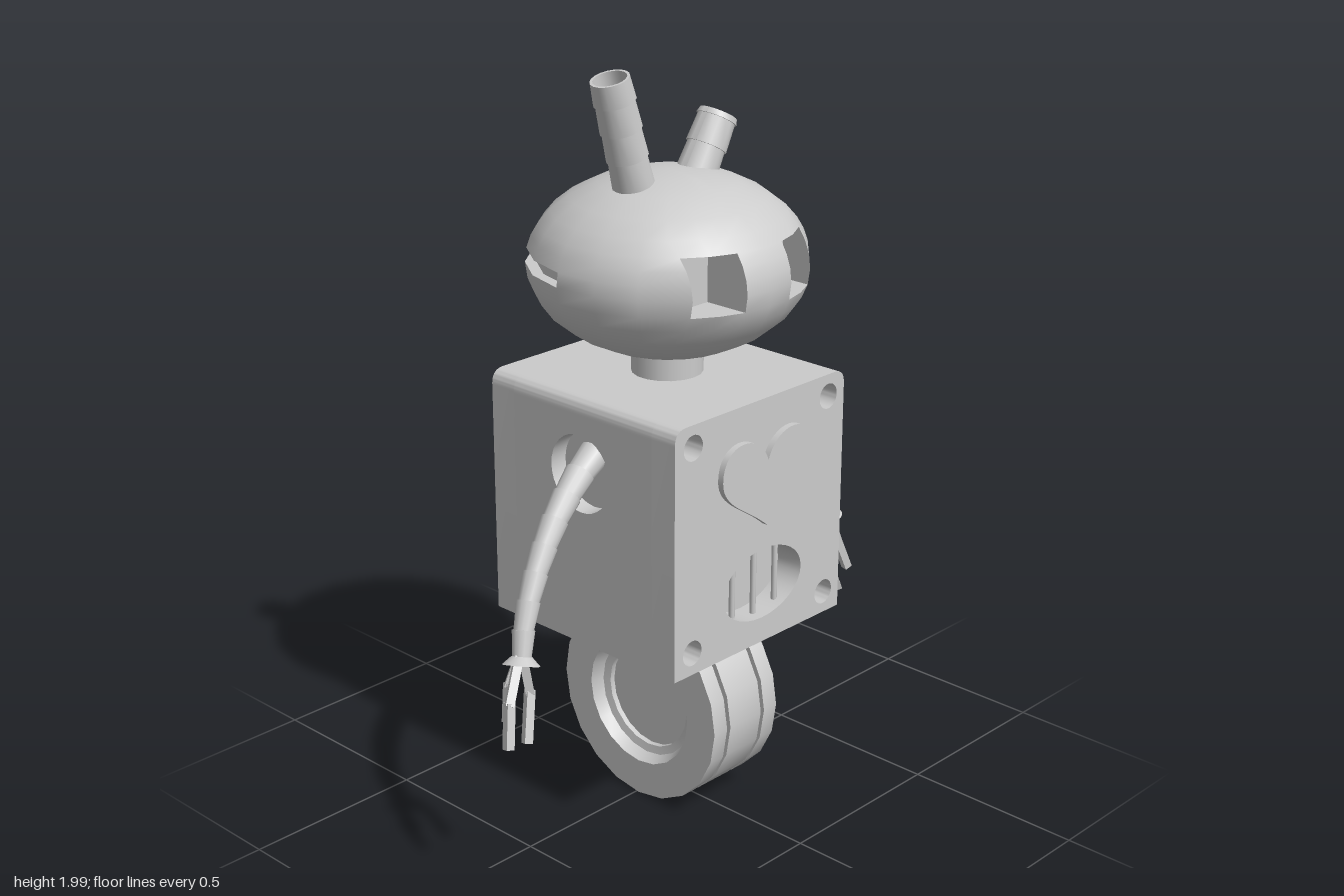
import * as THREE from 'three';
import { toCreasedNormals } from 'three/addons/utils/BufferGeometryUtils.js';

const V = (x, y, z = 0) => new THREE.Vector3(x, y, z);
const grey = new THREE.MeshStandardMaterial({ color: 0xcccccc });
const UP = V(0, 1, 0);

function add(parent, name, geo, x = 0, y = 0, z = 0) {
  const m = new THREE.Mesh(geo, grey);
  m.name = name;
  m.position.set(x, y, z);
  parent.add(m);
  return m;
}
// Places a y-aligned mesh so that its middle lies between a and b
function along(m, a, b) {
  m.position.copy(a).lerp(b, 0.5);
  m.quaternion.setFromUnitVectors(UP, b.clone().sub(a).normalize());
}
const extrude = (shape, depth) => toCreasedNormals(
  new THREE.ExtrudeGeometry(shape, { depth, bevelEnabled: false, curveSegments: 16 }), 0.6);
const hole = (x, y, rx, ry = rx) => new THREE.Path().absellipse(x, y, rx, ry, 0, Math.PI * 2, true);

// Rectangle with rounded upper corners
function panel(x0, x1, y0, y1, r) {
  const s = new THREE.Shape();
  s.moveTo(x0, y0);
  s.lineTo(x1, y0);
  s.lineTo(x1, y1 - r);
  s.quadraticCurveTo(x1, y1, x1 - r, y1);
  s.lineTo(x0 + r, y1);
  s.quadraticCurveTo(x0, y1, x0, y1 - r);
  return s;
}

// Hollow-looking ellipsoid shell with two eye pits and a groove round the back
function headGeometry() {
  const cx = 0.021, cy = 1.487, R = 0.363, RY = 0.238, D = Math.PI / 180;
  const lats = [-Math.PI / 2, -1.3, -1.05, -0.8, -0.55, -0.35, -0.182, 0, 0.156, 0.3, 0.434, 0.6, 0.8, 1.05, 1.3, Math.PI / 2];
  // Columns: fixed angles, or eye edges that hold a constant x
  const cols = [18, 38, { x: 0.209 }, { x: 0.146 }, { x: 0.082 }, { x: 0.005 }, { x: -0.071 }, { x: -0.135 }, { x: -0.198 }, 148, 166];
  for (let k = 0; k <= 10; k++) cols.push(185 + k * 19.3);
  const n = cols.length - 1, pos = [];
  const point = (i, j) => {
    const r = R * Math.cos(lats[i]), c = cols[j];
    const a = c.x === undefined ? c * D : Math.acos((c.x - cx) / Math.max(r, 0.3));
    return V(cx + r * Math.cos(a), cy + RY * Math.sin(lats[i]), r * Math.sin(a));
  };
  const quad = (a, b, c, d) => [a, b, c, a, c, d].forEach(p => pos.push(p.x, p.y, p.z));
  const kind = (i, j) => {
    j = (j + n) % n;
    if (i === 7 && j >= 11) return 'groove';
    if (i >= 6 && i < 10 && (j === 2 || j === 3)) return 'leftEye';
    if (i >= 6 && i < 10 && (j === 6 || j === 7)) return 'rightEye';
    return '';
  };
  for (let i = 0; i < lats.length - 1; i++) for (let j = 0; j < n; j++) {
    const P = [point(i, j + 1), point(i, j), point(i + 1, j), point(i + 1, j + 1)];
    const k = kind(i, j);
    if (!k) { quad(...P); continue; }
    const Q = P.map(p => k === 'groove' ? V(cx + (p.x - cx) * 0.92, p.y, p.z * 0.92) : V(p.x, p.y, 0.22));
    quad(...Q);
    const next = [kind(i - 1, j), kind(i, j - 1), kind(i + 1, j), kind(i, j + 1)];
    next.forEach((o, e) => {
      const f = (e + 1) % 4;
      if (o !== k) quad(P[e], P[f], Q[f], Q[e]);
    });
  }
  const g = new THREE.BufferGeometry();
  g.setAttribute('position', new THREE.Float32BufferAttribute(pos, 3));
  return toCreasedNormals(g, 0.7);
}

// Ribbed open tube ending at tip, leaning by angle
function antenna(parent, name, tip, angle, length) {
  const pts = [], step = 0.075;
  for (let t = length; t > 0; t -= step) {
    pts.push(new THREE.Vector2(0.054, -t), new THREE.Vector2(0.05, -Math.max(t - step, 0)));
  }
  pts.push(new THREE.Vector2(0.043, 0), new THREE.Vector2(0.043, -0.14), new THREE.Vector2(0, -0.14));
  const m = add(parent, name, toCreasedNormals(new THREE.LatheGeometry(pts, 18), 0.6), tip.x, tip.y, tip.z);
  m.rotation.z = angle;
}

// Segmented arm, wrist flange and bent fingers
function arm(parent, name, path, fingers) {
  const g = new THREE.Group();
  g.name = name;
  parent.add(g);
  const curve = new THREE.CatmullRomCurve3(path), n = 8;
  for (let i = 0; i < n; i++) {
    const a = curve.getPointAt(i / n), b = curve.getPointAt((i + 1) / n);
    const r = 0.041 - 0.0017 * i;
    along(add(g, 'armSegment', new THREE.CylinderGeometry(r - 0.006, r, a.distanceTo(b) + 0.008, 14)), a, b);
  }
  const wrist = curve.getPointAt(1), dir = curve.getTangentAt(1);
  along(add(g, 'wristFlange', new THREE.CylinderGeometry(0.026, 0.048, 0.022, 16)),
    wrist.clone().addScaledVector(dir, 0.02), wrist.clone().addScaledVector(dir, -0.02));
  for (const f of fingers) for (let i = 0; i < f.length - 1; i++) {
    along(add(g, 'finger', new THREE.BoxGeometry(0.022, f[i].distanceTo(f[i + 1]) + 0.01, 0.022)), f[i], f[i + 1]);
  }
}

export function createModel() {
  const model = new THREE.Group();
  model.name = 'robot';

  // Body: core behind front, back, side and top panels; the underside is recessed
  const body = new THREE.Group();
  body.name = 'body';
  model.add(body);
  const X0 = -0.3, X1 = 0.335, Y0 = 0.522, Y1 = 1.195, mx = (X0 + X1) / 2;
  add(body, 'core', new THREE.BoxGeometry(0.535, 0.615, 0.49), mx, 0.8525, 0.005);
  const front = panel(X0, X1, Y0, Y1, 0.04);
  for (const x of [-0.235, 0.273]) for (const y of [0.582, 1.135]) front.holes.push(hole(x, y, 0.034));
  front.holes.push(hole(0.029, 0.688, 0.15, 0.097));
  add(body, 'frontPanel', extrude(front, 0.078), 0, 0, 0.25);
  add(body, 'backPanel', extrude(panel(X0, X1, Y0, Y1, 0.04), 0.082), 0, 0, -0.322);
  add(body, 'topPanel', extrude(panel(X0, X1, 1.15, Y1, 0.04), 0.49), 0, 0, -0.24);
  for (const x of [X0, X1 - 0.05]) {
    const side = panel(-0.25, 0.24, Y0, 1.15, 0);
    side.holes.push(hole(0, 0.995, 0.105));
    add(body, 'sidePanel', extrude(side, 0.05), x).rotation.y = Math.PI / 2;
  }
  for (const x of [-0.052, 0.029, 0.112]) {
    add(body, 'mouthBar', new THREE.CylinderGeometry(0.008, 0.008, 0.19, 8), x, 0.688, 0.295);
  }

  // Raised heart on the chest
  const heart = new THREE.Shape();
  heart.moveTo(0, 1.035);
  heart.bezierCurveTo(0.03, 1.125, 0.169, 1.13, 0.169, 1.02);
  heart.bezierCurveTo(0.169, 0.95, 0.07, 0.92, 0, 0.857);
  heart.bezierCurveTo(-0.07, 0.92, -0.169, 0.95, -0.169, 1.02);
  heart.bezierCurveTo(-0.169, 1.13, -0.03, 1.125, 0, 1.035);
  add(body, 'heart', extrude(heart, 0.02), 0.024, 0, 0.325);

  // Neck, head and antennas
  add(model, 'neck', new THREE.CylinderGeometry(0.094, 0.094, 0.12, 18), 0.015, 1.24, 0.002);
  add(model, 'head', headGeometry());
  antenna(model, 'rightAntenna', V(-0.183, 1.981, 0), 0.28, 0.36);
  antenna(model, 'leftAntenna', V(0.204, 1.833, 0), -0.53, 0.24);

  // Arms
  arm(model, 'leftArm',
    [V(0.28, 1.025, 0), V(0.335, 0.99, -0.005), V(0.44, 0.89, 0), V(0.537, 0.783, 0.005), V(0.59, 0.69, 0.025), V(0.62, 0.61, 0.045)],
    [[V(0.63, 0.62, 0.045), V(0.67, 0.52, 0.05), V(0.71, 0.43, 0.055)],
      [V(0.615, 0.62, 0.05), V(0.59, 0.51, 0.075), V(0.63, 0.4, 0.09)],
      [V(0.625, 0.62, 0.04), V(0.645, 0.53, 0.03), V(0.66, 0.46, 0.045)]]);
  arm(model, 'rightArm',
    [V(-0.25, 1.035, 0), V(-0.3, 1.005, 0.005), V(-0.415, 0.92, 0.03), V(-0.52, 0.8, 0.06), V(-0.58, 0.7, 0.085), V(-0.61, 0.62, 0.105)],
    [[V(-0.62, 0.63, 0.105), V(-0.685, 0.54, 0.14), V(-0.71, 0.44, 0.16)],
      [V(-0.605, 0.63, 0.105), V(-0.59, 0.53, 0.11), V(-0.625, 0.415, 0.135)],
      [V(-0.615, 0.63, 0.1), V(-0.64, 0.56, 0.09), V(-0.665, 0.48, 0.11)]]);

  // Wheel: half profile mirrored about its mid plane, with tread grooves and sunken hub
  const half = [[0, 0.07], [0.143, 0.07], [0.143, 0.085], [0.165, 0.09], [0.18, 0.122], [0.278, 0.122],
    [0.278, 0.073], [0.258, 0.073], [0.258, 0.06], [0.278, 0.06]];
  const profile = half.map(([r, h]) => new THREE.Vector2(r, -h))
    .concat(half.slice().reverse().map(([r, h]) => new THREE.Vector2(r, h)));
  const wheel = add(model, 'wheel', toCreasedNormals(new THREE.LatheGeometry(profile, 20), 0.5), 0.019, 0.28, 0.008);
  wheel.rotation.z = Math.PI / 2;

  return model;
}
